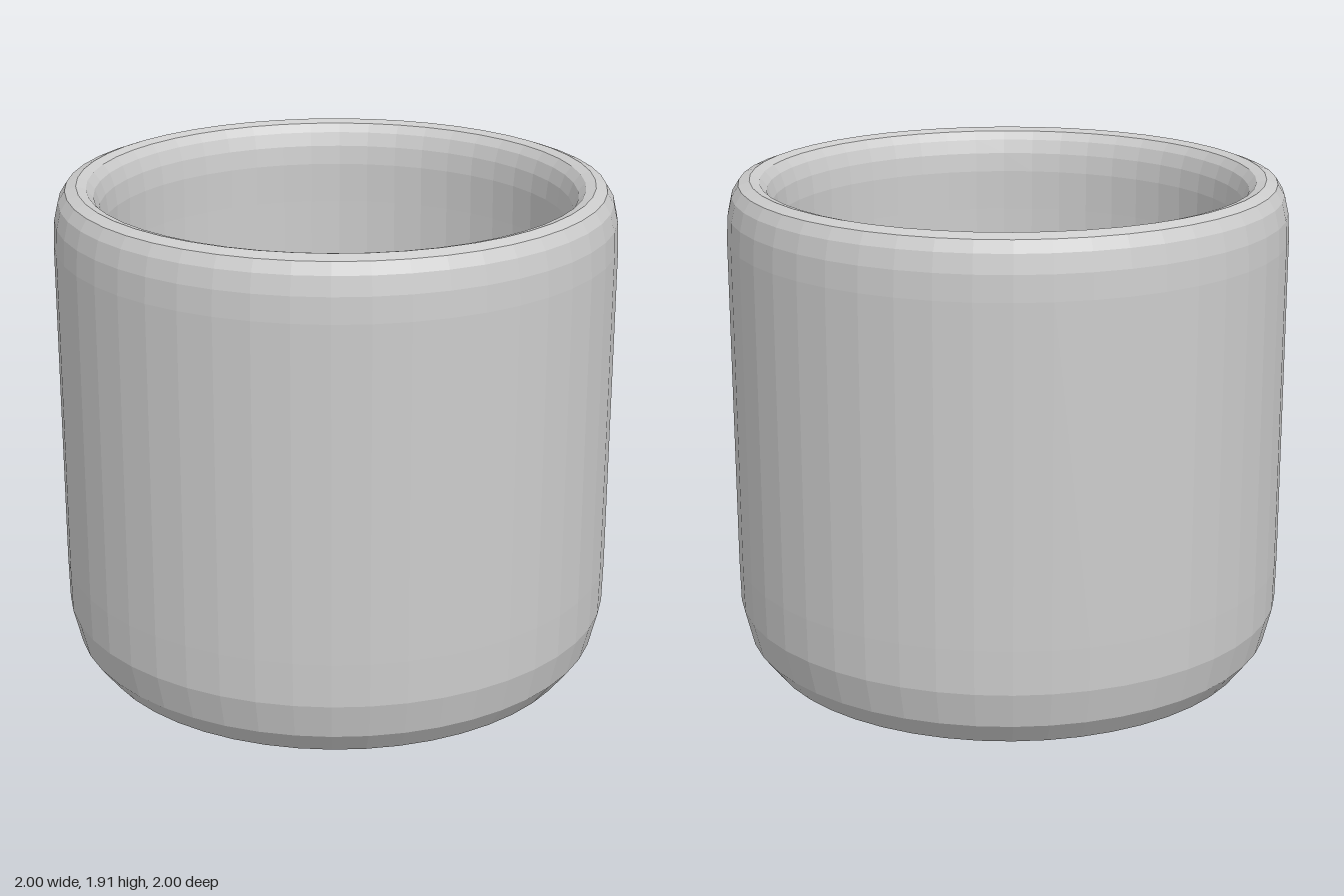
import * as THREE from 'three';

export function createModel() {
  const group = new THREE.Group();
  group.name = 'cup';

  const clay = new THREE.MeshStandardMaterial({ color: 0xcccccc, flatShading: true });
  clay.name = 'plain grey';

  const segments = 48;
  const lathe = (name, profile) => {
    const points = profile.map(([r, y]) => new THREE.Vector2(r, y));
    const mesh = new THREE.Mesh(new THREE.LatheGeometry(points, segments), clay);
    mesh.name = name;
    group.add(mesh);
  };

  // Each profile runs up the outside, over the lip and down the inside.
  lathe('roundedBase', [
    [0, 0], [0.3, 0.015], [0.54, 0.035], [0.78, 0.078],
    [0.9, 0.125], [0.965, 0.21], [0.997, 0.34],
  ]);
  lathe('outerWall', [[0.997, 0.34], [1, 0.5], [1, 1.7]]);
  lathe('roundedRim', [
    [1, 1.7], [0.995, 1.79], [0.98, 1.855], [0.955, 1.895], [0.915, 1.91],
    [0.88, 1.9], [0.855, 1.87], [0.838, 1.82], [0.83, 1.75],
  ]);
  lathe('innerWall', [[0.83, 1.75], [0.832, 1.6], [0.832, 0.42]]);
  lathe('innerFloor', [
    [0.832, 0.42], [0.815, 0.32], [0.765, 0.255], [0.65, 0.215],
    [0.45, 0.19], [0.2, 0.175], [0, 0.17],
  ]);

  return group;
}
